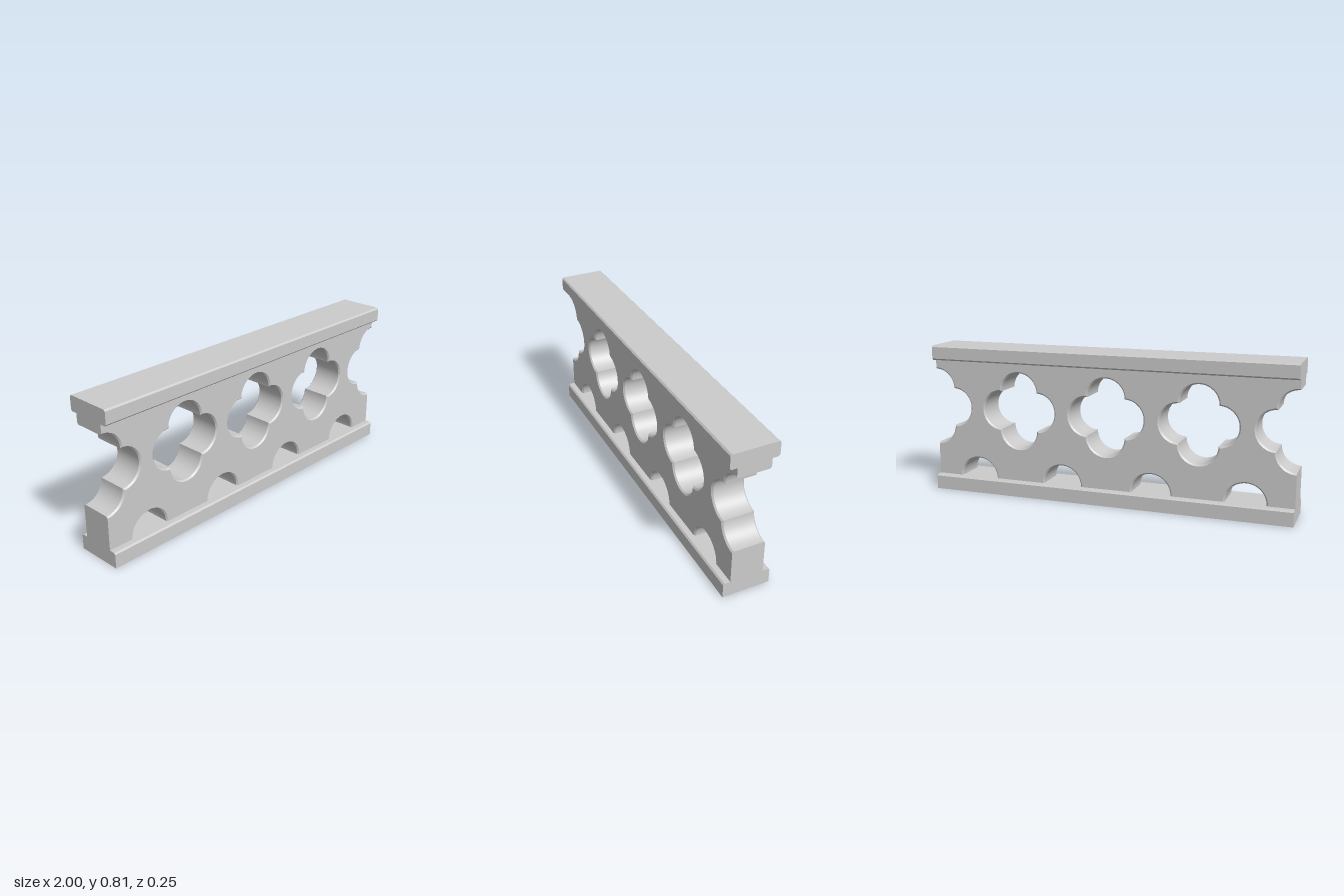
import * as THREE from 'three';
import { mergeGeometries, toCreasedNormals } from 'three/addons/utils/BufferGeometryUtils.js';

const RAIL = 0.082, TOP = 0.813, WEB_TOP = 0.733; // heights
const HALF_RAIL = 0.125, HALF_WEB = 0.087;        // half depths
const CHAMFER = 0.008;
const FOIL_Y = 0.471, LOBE = 0.104, N = 24;       // N segments per lobe

// Quatrefoil outline, counter-clockwise from the bottom of the lowest lobe
function foil(cx, grow) {
  const r = LOBE + grow;
  const t = (LOBE + Math.sqrt(2 * r * r - LOBE * LOBE)) / 2; // cusp offset
  const half = Math.atan2(t, t - LOBE);
  const pts = [];
  for (let i = 0; i <= 4 * N; i++) {
    const k = Math.round(i / N);
    const dir = (k - 1) * Math.PI / 2;
    const a = dir + ((i - k * N) / (N / 2)) * half;
    pts.push(new THREE.Vector2(
      cx + LOBE * Math.cos(dir) + r * Math.cos(a),
      FOIL_Y + LOBE * Math.sin(dir) + r * Math.sin(a)));
  }
  return pts;
}

// Web outline with arches below and half quatrefoils at both ends
function webOutline(grow) {
  const pts = [new THREE.Vector2(-1, RAIL)];
  for (const x of [-0.75, -0.25, 0.25, 0.75]) {
    for (let i = 0; i <= 32; i++) {
      const a = Math.PI * (1 - i / 32), r = 0.107 + grow;
      pts.push(new THREE.Vector2(x + r * Math.cos(a), RAIL + r * Math.sin(a)));
    }
  }
  pts.push(new THREE.Vector2(1, RAIL));
  pts.push(...foil(1, grow).slice(2 * N).reverse());
  pts.push(new THREE.Vector2(1, WEB_TOP), new THREE.Vector2(-1, WEB_TOP));
  pts.push(...foil(-1, grow).slice(0, 2 * N + 1).reverse());
  return pts;
}

// All loops of the web: outline first, then the three full openings (clockwise)
function loops(grow) {
  const holes = [-0.5, 0, 0.5].map((x) => foil(x, grow).slice(0, 4 * N).reverse());
  return [webOutline(grow), ...holes];
}

function webGeometry() {
  const wide = loops(CHAMFER), narrow = loops(0);
  const layers = [
    [wide, -HALF_WEB], [narrow, -HALF_WEB + CHAMFER],
    [narrow, HALF_WEB - CHAMFER], [wide, HALF_WEB],
  ];
  // Walls through the depth, with chamfered opening edges
  const pos = [];
  for (let l = 0; l < 3; l++) {
    const [A, z0] = layers[l], [B, z1] = layers[l + 1];
    A.forEach((loop, k) => loop.forEach((a, i) => {
      const j = (i + 1) % loop.length;
      const b = loop[j], c = B[k][j], d = B[k][i];
      pos.push(a.x, a.y, z0, b.x, b.y, z0, c.x, c.y, z1);
      pos.push(a.x, a.y, z0, c.x, c.y, z1, d.x, d.y, z1);
    }));
  }
  const walls = new THREE.BufferGeometry();
  walls.setAttribute('position', new THREE.Float32BufferAttribute(pos, 3));
  walls.computeVertexNormals();

  // Front and back faces
  const shape = new THREE.Shape(wide[0]);
  shape.holes = wide.slice(1).map((h) => new THREE.Path(h));
  const front = new THREE.ShapeGeometry(shape).toNonIndexed();
  front.deleteAttribute('uv');
  front.translate(0, 0, HALF_WEB);
  const back = front.clone().rotateY(Math.PI);
  return toCreasedNormals(mergeGeometries([walls, front, back]), 0.5);
}

// Rail profile in depth and height, swept along the length
function railGeometry(y0, y1, low) {
  const w = HALF_RAIL, c = CHAMFER;
  const side = [[w - low, y0], [w, y0 + low], [w, y1 - c], [w - c, y1]];
  const profile = [...side, ...side.map(([x, y]) => [-x, y]).reverse()]
    .map(([x, y]) => new THREE.Vector2(x, y));
  if (!low) { profile.shift(); profile.pop(); } // square lower corners
  return new THREE.ExtrudeGeometry(new THREE.Shape(profile), { depth: 2, bevelEnabled: false })
    .translate(0, 0, -1).rotateY(Math.PI / 2);
}

export function createModel() {
  const group = new THREE.Group();
  group.name = 'balustrade';
  const material = new THREE.MeshStandardMaterial({ color: 0xcccccc });
  const add = (name, geometry) => {
    const mesh = new THREE.Mesh(geometry, material);
    mesh.name = name;
    group.add(mesh);
  };
  add('bottomRail', railGeometry(0, RAIL, 0));
  add('piercedPanel', webGeometry());
  add('topRail', railGeometry(WEB_TOP, TOP, CHAMFER));
  return group;
}
